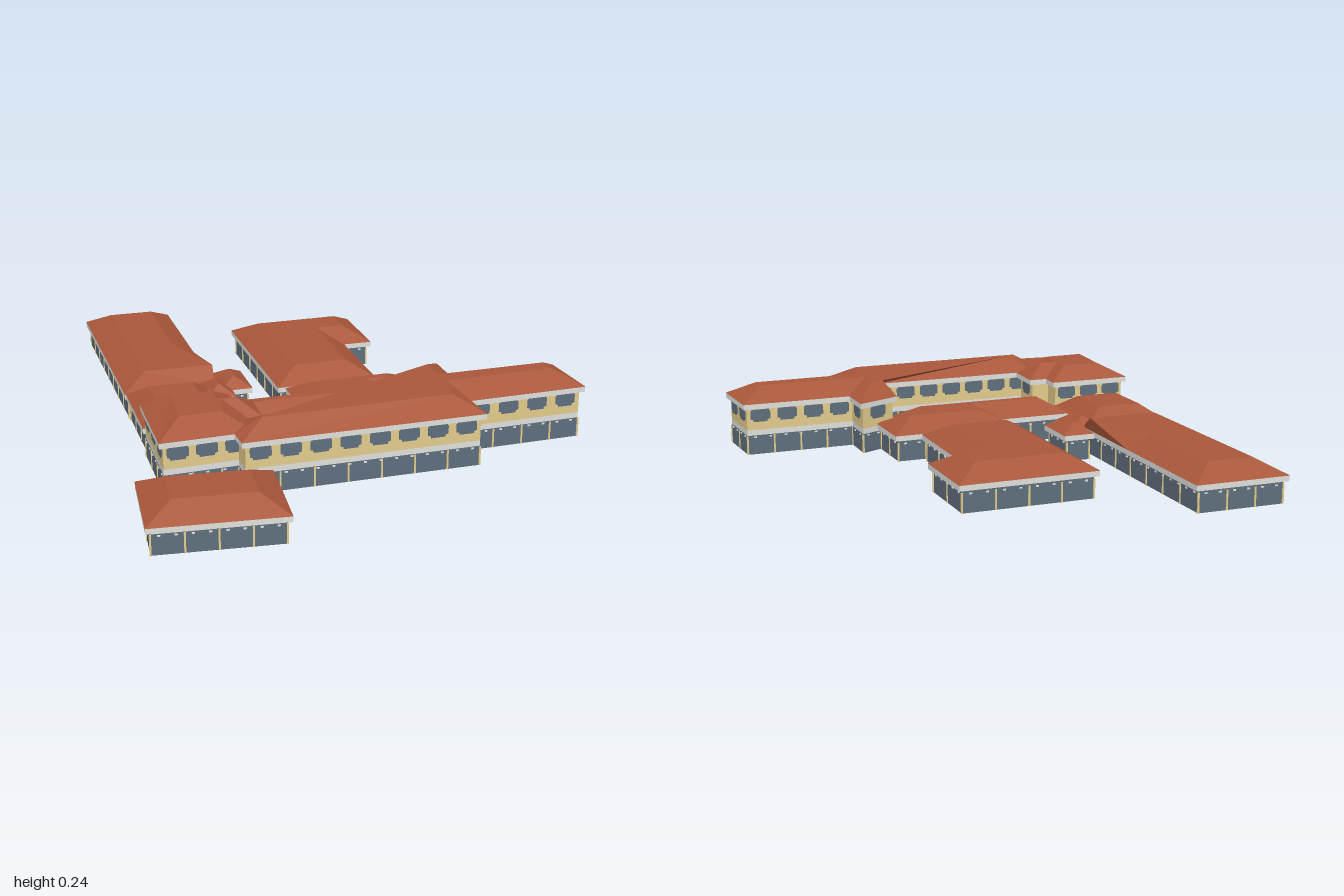
import * as THREE from 'three';
import { mergeGeometries } from 'three/addons/utils/BufferGeometryUtils.js';

const V = (x, z) => new THREE.Vector2(x, z);

// Turned rectangle as an outline in the x-z plane.
function rectangle(cx, cz, w, d, angle) {
  const centre = V(cx, cz);
  return [[-1, -1], [1, -1], [1, 1], [-1, 1]].map(([i, j]) =>
    V(cx + (i * w) / 2, cz + (j * d) / 2).rotateAround(centre, angle));
}

// Shrinks an outline by d with mitred corners.
function inset(pts, d) {
  const s = Math.sign(THREE.ShapeUtils.area(pts));
  const n = pts.length;
  const normal = (a, b) => {
    const e = b.clone().sub(a).normalize();
    return V(-e.y * s, e.x * s);
  };
  return pts.map((p, i) => {
    const n1 = normal(pts[(i + n - 1) % n], p);
    const n2 = normal(p, pts[(i + 1) % n]);
    return p.clone().addScaledVector(n1.clone().add(n2), d / (1 + n1.dot(n2)));
  });
}

// Band of quads joining outline a at height ya to outline b at height yb.
function band(a, ya, b, yb) {
  const v = [];
  a.forEach((p, i) => {
    const j = (i + 1) % a.length;
    const A = [p.x, ya, p.y], B = [a[j].x, ya, a[j].y];
    const C = [b[j].x, yb, b[j].y], D = [b[i].x, yb, b[i].y];
    v.push(...A, ...C, ...B, ...A, ...D, ...C);
  });
  const g = new THREE.BufferGeometry();
  g.setAttribute('position', new THREE.Float32BufferAttribute(v, 3));
  g.computeVertexNormals();
  return g;
}

// Horizontal plate in the shape of an outline.
const plate = (pts, y) =>
  new THREE.ShapeGeometry(new THREE.Shape(pts)).rotateX(Math.PI / 2).translate(0, y, 0);

// Wide window with clipped corners and a narrower foot.
function windowGeometry() {
  const half = [V(0.025, 0), V(0.026, 0.007), V(0.036, 0.01), V(0.036, 0.038), V(0.031, 0.045)];
  const mirrored = half.map((p) => V(-p.x, p.y)).reverse();
  return new THREE.ExtrudeGeometry(new THREE.Shape([...half, ...mirrored]),
    { depth: 0.006, bevelEnabled: false }).translate(0, 0, -0.003);
}

// Copies of a geometry spaced along every wall longer than minLength.
function alongWalls(pts, source, spacing, y, shift, minLength) {
  const out = [];
  pts.forEach((a, i) => {
    const b = pts[(i + 1) % pts.length];
    const len = a.distanceTo(b);
    if (len < minLength) return;
    const count = Math.max(1, Math.round(len / spacing));
    for (let k = 0; k < count; k++) {
      const p = a.clone().lerp(b, (k + shift) / count);
      out.push(source.clone().rotateY(-Math.atan2(b.y - a.y, b.x - a.x)).translate(p.x, y, p.y));
    }
  });
  return mergeGeometries(out);
}

function material(name, color) {
  const m = new THREE.MeshStandardMaterial({ color, side: THREE.DoubleSide });
  m.name = name;
  return m;
}

export function createModel() {
  const model = new THREE.Group();
  model.name = 'buildingComplex';
  const roof = material('terracotta', 0xa9573a);
  const slate = material('slate', 0x5f6f7e);
  const tan = material('sandstone', 0xe3cc8c);
  const trim = material('paleTrim', 0xe0e0dd);
  const grey = material('ceilingGrey', 0xd8d2ca);
  const pane = windowGeometry();
  const pilaster = new THREE.BoxGeometry(0.006, 0.068, 0.006);
  const lamp = new THREE.BoxGeometry(0.01, 0.005, 0.006);

  // One building from its eave outline; moved replaces single ridge corners by index.
  function building(name, eave, { tall = false, slope = 0.088, rise = 0.049, moved = {} } = {}) {
    const group = new THREE.Group();
    group.name = name;
    const add = (part, geometry, mat) => {
      const mesh = new THREE.Mesh(geometry, mat);
      mesh.name = part;
      group.add(mesh);
    };
    const ridge = Object.assign(inset(eave, slope), moved);
    const wall = inset(eave, 0.015);
    const board = inset(eave, 0.001);
    const eaveY = tall ? 0.188 : 0.096;
    const wallTop = eaveY - 0.019;

    // Hipped roof with a flat top
    add('roofSlopes', band(eave, eaveY, ridge, eaveY + rise), roof);
    add('roofTop', plate(ridge, eaveY + rise), roof);

    // Eave board and ceiling
    add('eaveFascia', band(board, wallTop, board, eaveY), trim);
    add('soffit', plate(board, wallTop + 0.001), trim);
    add('ceiling', plate(wall, wallTop - 0.002), grey);

    // Ground floor
    add('groundWalls', band(wall, 0, wall, tall ? 0.07 : wallTop), slate);
    add('pilasters', alongWalls(wall, pilaster, 0.11, 0.034, 0, 0.05), tan);
    add('wallLamps', alongWalls(wall, lamp, 0.055, 0.064, 0.5, 0.07), trim);

    // Upper floor
    if (tall) {
      add('floorBand', band(wall, 0.07, wall, 0.09), trim);
      add('upperWalls', band(wall, 0.09, wall, wallTop), tan);
      add('upperWindows', alongWalls(wall, pane, 0.1, 0.12, 0.5, 0.078), slate);
    }
    model.add(group);
  }

  // Single-storey blocks
  building('frontPavilion', rectangle(-0.588, 0.798, 0.443, 0.342, 0.135));
  building('linkBlock', rectangle(-0.504, 0.028, 0.3, 0.335, 0.045), { slope: 0.07 });
  building('smallPorchBack', rectangle(-0.251, -0.156, 0.117, 0.185, 0.04), { slope: 0.055, rise: 0.034 });
  building('smallPorchFront', rectangle(-0.325, -0.083, 0.108, 0.16, 0.04), { slope: 0.05, rise: 0.034 });
  building('longWing',
    [V(-0.62, -1), V(-0.283, -0.985), V(-0.3, -0.5), V(-0.315, -0.14), V(-0.65, -0.14)],
    { moved: { 3: V(-0.305, -0.215) } });
  building('backCornerWing',
    [V(-0.09, -0.705), V(0.4, -0.69), V(0.39, -0.395), V(0.28, -0.4), V(0.265, -0.02), V(-0.11, -0.03)]);
  building('courtBlock',
    [V(-0.085, -0.02), V(0.36, -0.01), V(0.355, 0.21), V(0.27, 0.2), V(0.265, 0.295),
      V(-0.37, 0.275), V(-0.365, 0.07), V(-0.09, 0.08)]);

  // Two-storey halls
  building('leftHall',
    [V(-0.67, 0.19), V(-0.36, 0.2), V(-0.365, 0.275), V(-0.3, 0.28), V(-0.31, 0.43),
      V(-0.36, 0.43), V(-0.37, 0.545), V(-0.69, 0.545)],
    { tall: true, slope: 0.073, moved: { 0: V(-0.58, 0.27), 6: V(-0.46, 0.455), 7: V(-0.6, 0.455) } });
  building('mainHall',
    [V(-0.44, 0.625), V(0.4, 0.65), V(0.4, 0.525), V(0.83, 0.53), V(0.825, 0.295), V(0.43, 0.285),
      V(0.435, 0.145), V(0.27, 0.215), V(0.27, 0.45), V(-0.38, 0.43), V(-0.44, 0.535)],
    { tall: true, moved: { 0: V(-0.35, 0.55), 2: V(0.345, 0.437), 6: V(0.35, 0.27), 7: V(0.343, 0.267),
      8: V(0.3, 0.285), 9: V(-0.31, 0.528), 10: V(-0.35, 0.543) } });

  return model;
}
